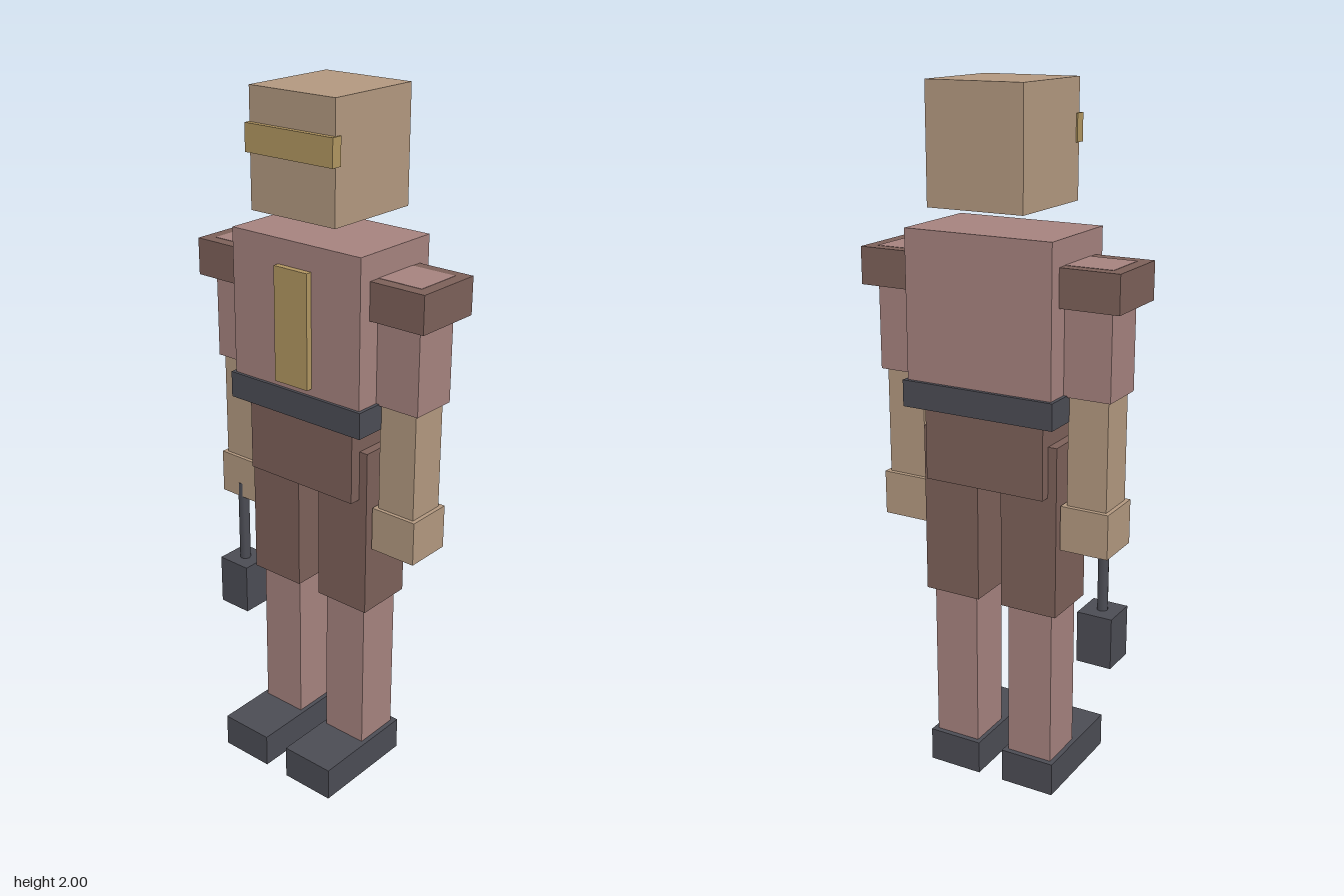
import * as THREE from 'three';

const material = (name, color) => {
  const m = new THREE.MeshStandardMaterial({ color });
  m.name = name;
  return m;
};

export function createModel() {
  const model = new THREE.Group();
  model.name = 'blockFigure';

  const skin = material('skin tan', 0xb2987f);
  const cloth = material('dusty pink', 0xa5827e);
  const brown = material('brown', 0x7c6059);
  const dark = material('dark grey', 0x4b4c54);
  const gold = material('gold', 0xb09560);

  // Box given by its extents along each axis
  const box = (name, mat, [x0, x1], [y0, y1], [z0, z1]) => {
    const mesh = new THREE.Mesh(new THREE.BoxGeometry(x1 - x0, y1 - y0, z1 - z0), mat);
    mesh.position.set((x0 + x1) / 2, (y0 + y1) / 2, (z0 + z1) / 2);
    mesh.name = name;
    model.add(mesh);
    return mesh;
  };

  // Head, visor and body
  box('head', skin, [-0.142, 0.142], [1.68, 2], [-0.195, 0.105]);
  box('visor', gold, [-0.146, 0.146], [1.833, 1.908], [0.088, 0.12]);
  box('torso', cloth, [-0.22, 0.22], [1.205, 1.62], [-0.187, 0.098]);
  box('chestPlate', gold, [-0.057, 0.057], [1.227, 1.55], [0.09, 0.116]);
  box('belt', dark, [-0.23, 0.23], [1.132, 1.207], [-0.198, 0.107]);
  box('pelvis', brown, [-0.183, 0.183], [0.918, 1.14], [-0.16, 0.08]);

  // Limbs, mirrored
  for (const [side, s] of [['left', 1], ['right', -1]]) {
    const limb = (part, mat, [a, b], y, z) =>
      box(side + part, mat, s > 0 ? [a, b] : [-b, -a], y, z);
    limb('ShoulderPad', brown, [0.18, 0.39], [1.445, 1.55], [-0.148, 0.06]);
    limb('UpperArm', cloth, [0.215, 0.356], [1.203, 1.551], [-0.116, 0.026]);
    limb('Forearm', skin, [0.227, 0.344], [0.89, 1.205], [-0.101, 0.015]);
    limb('Hand', skin, [0.214, 0.356], [0.767, 0.895], [-0.114, 0.026]);
    limb('Thigh', brown, [0.037, 0.209], [0.567, 1.062], [-0.129, 0.046]);
    limb('Shin', cloth, [0.052, 0.19], [0.095, 0.57], [-0.114, 0.026]);
    limb('Boot', dark, [0.039, 0.204], [0, 0.1], [-0.13, 0.197]);
  }

  // Hammer hanging from the right hand
  const handle = new THREE.Mesh(new THREE.CylinderGeometry(0.016, 0.016, 0.27, 8), dark);
  handle.name = 'hammerHandle';
  handle.position.set(-0.286, 0.675, 0.013);
  handle.material.flatShading = false;
  model.add(handle);
  box('hammerHead', dark, [-0.339, -0.233], [0.403, 0.555], [-0.04, 0.065]);

  return model;
}
